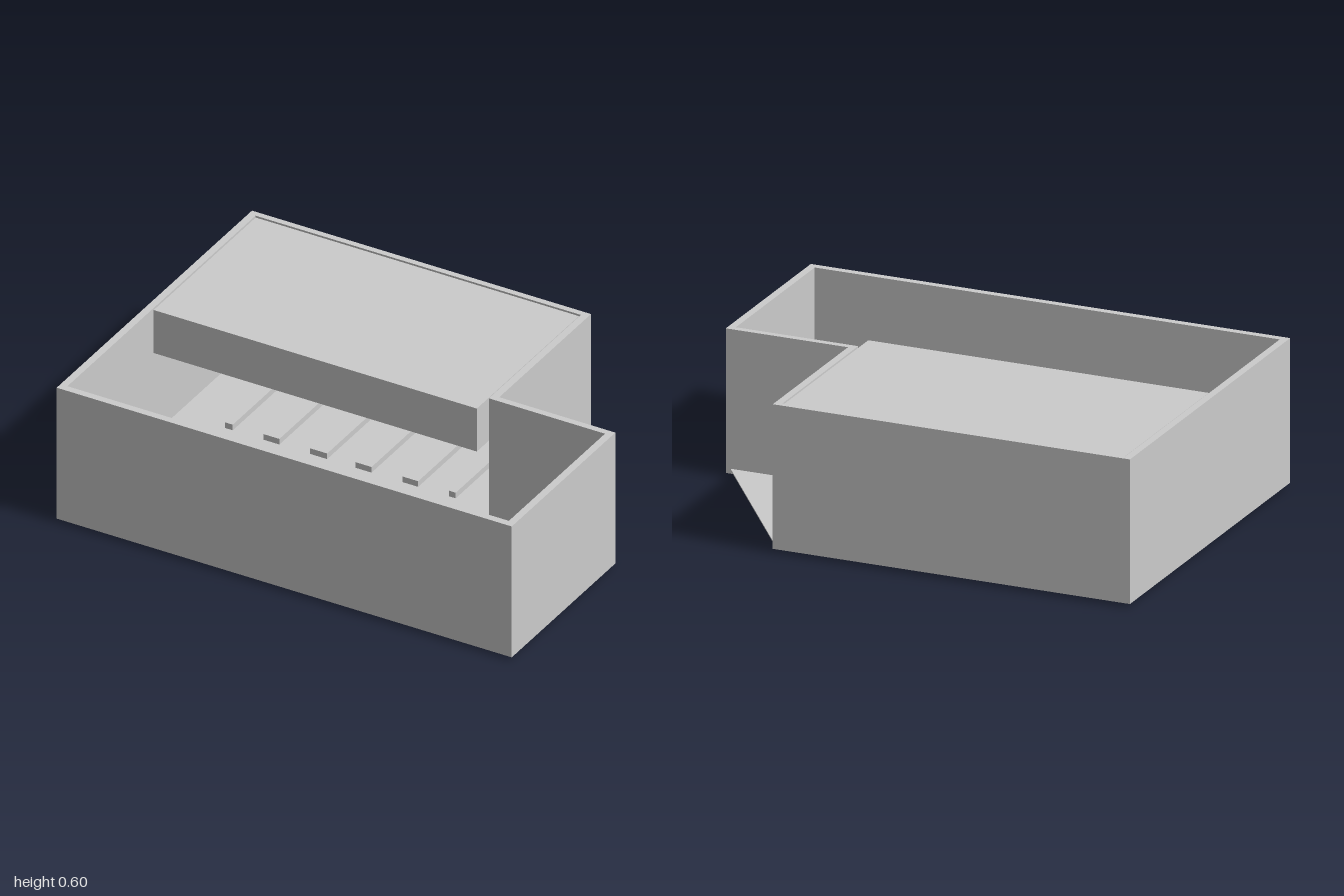
import * as THREE from 'three';

const material = new THREE.MeshStandardMaterial({ color: 0xcccccc, flatShading: true });

// Plan points are [x, z]; the outline is extruded upward from y0 to y1.
function prism(name, outline, y0, y1, hole) {
  const toPoints = (list) => list.map(([x, z]) => new THREE.Vector2(x, -z));
  const shape = new THREE.Shape(toPoints(outline));
  if (hole) shape.holes.push(new THREE.Path(toPoints(hole)));
  const geometry = new THREE.ExtrudeGeometry(shape, { depth: y1 - y0, bevelEnabled: false });
  geometry.rotateX(-Math.PI / 2).translate(0, y0, 0);
  const mesh = new THREE.Mesh(geometry, material);
  mesh.name = name;
  return mesh;
}

function block(name, [x0, x1, z0, z1], y0, y1) {
  const mesh = new THREE.Mesh(new THREE.BoxGeometry(x1 - x0, y1 - y0, z1 - z0), material);
  mesh.position.set((x0 + x1) / 2, (y0 + y1) / 2, (z0 + z1) / 2);
  mesh.name = name;
  return mesh;
}

function blocks(name, list, y0, y1) {
  const group = new THREE.Group();
  group.name = name;
  list.forEach((rect) => group.add(block(name + 'Piece', rect, y0, y1)));
  return group;
}

export function createModel() {
  const model = new THREE.Group();
  model.name = 'building';

  // Outer walls around an L-shaped plan, open at the top
  model.add(prism('walls',
    [[-1, 0.74], [1, 0.74], [1, -0.045], [0.49, -0.045], [0.49, -0.74], [-1, -0.74]],
    0.015, 0.6,
    [[-0.97, 0.71], [0.97, 0.71], [0.97, -0.018], [0.46, -0.018], [0.46, -0.715], [-0.97, -0.715]]));

  // Floor, cut diagonally across the notch
  model.add(prism('floor',
    [[-0.98, 0.72], [0.98, 0.72], [0.98, -0.045], [0.485, -0.735], [-0.98, -0.735]],
    0.03, 0.035));

  // Raised upper slab over the back
  model.add(block('upperSlab', [-0.965, 0.455, -0.708, 0.065], 0.405, 0.597));

  // Shelf rows: long ones at the back, short ones with a raised core in front
  const rows = [[-0.76, -0.725], [-0.59, -0.52], [-0.385, -0.31], [-0.185, -0.115],
    [0.02, 0.055], [0.055, 0.09], [0.225, 0.255]];
  model.add(blocks('longShelves', rows.map(([a, b]) => [a, b, -0.714, -0.12]), 0.022, 0.06));
  model.add(blocks('shortShelves', rows.map(([a, b]) => [a, b, 0.15, 0.38]), 0.022, 0.06));
  model.add(blocks('shelfCores', rows.map(([a, b]) => {
    const mid = (a + b) / 2, half = (b - a) * 0.28;
    return [mid - half, mid + half, 0.2, 0.33];
  }), 0.03, 0.065));

  // Small stands at the ends of the rows
  model.add(blocks('endStands', [
    [-0.53, -0.475, 0.03, 0.08], [-0.23, -0.185, 0.03, 0.085], [0.055, 0.095, 0.03, 0.08],
    [-0.56, -0.515, 0.415, 0.435], [-0.36, -0.315, 0.415, 0.428],
    [-0.155, -0.13, 0.41, 0.43], [0.035, 0.08, 0.42, 0.432],
    [-0.39, -0.345, 0.5, 0.522], [-0.13, -0.075, 0.498, 0.527], [0.055, 0.11, 0.498, 0.527],
  ], 0.022, 0.05));

  // Row of cabinets beside the notch
  model.add(blocks('cabinets', [
    [0.507, 0.583, 0.025, 0.1], [0.62, 0.695, 0.03, 0.107],
    [0.73, 0.807, 0.025, 0.117], [0.843, 0.898, 0.05, 0.135],
  ], 0.02, 0.055));

  // Counters and corner boxes near the front
  model.add(block('longCounter', [-0.423, 0.203, 0.537, 0.693], 0.016, 0.055));
  model.add(block('sideCounter', [0.512, 0.735, 0.57, 0.68], 0.01, 0.055));
  model.add(blocks('cornerBoxes',
    [[-0.84, -0.765, 0.405, 0.497], [-0.895, -0.81, 0.55, 0.67]], 0, 0.055));

  return model;
}
